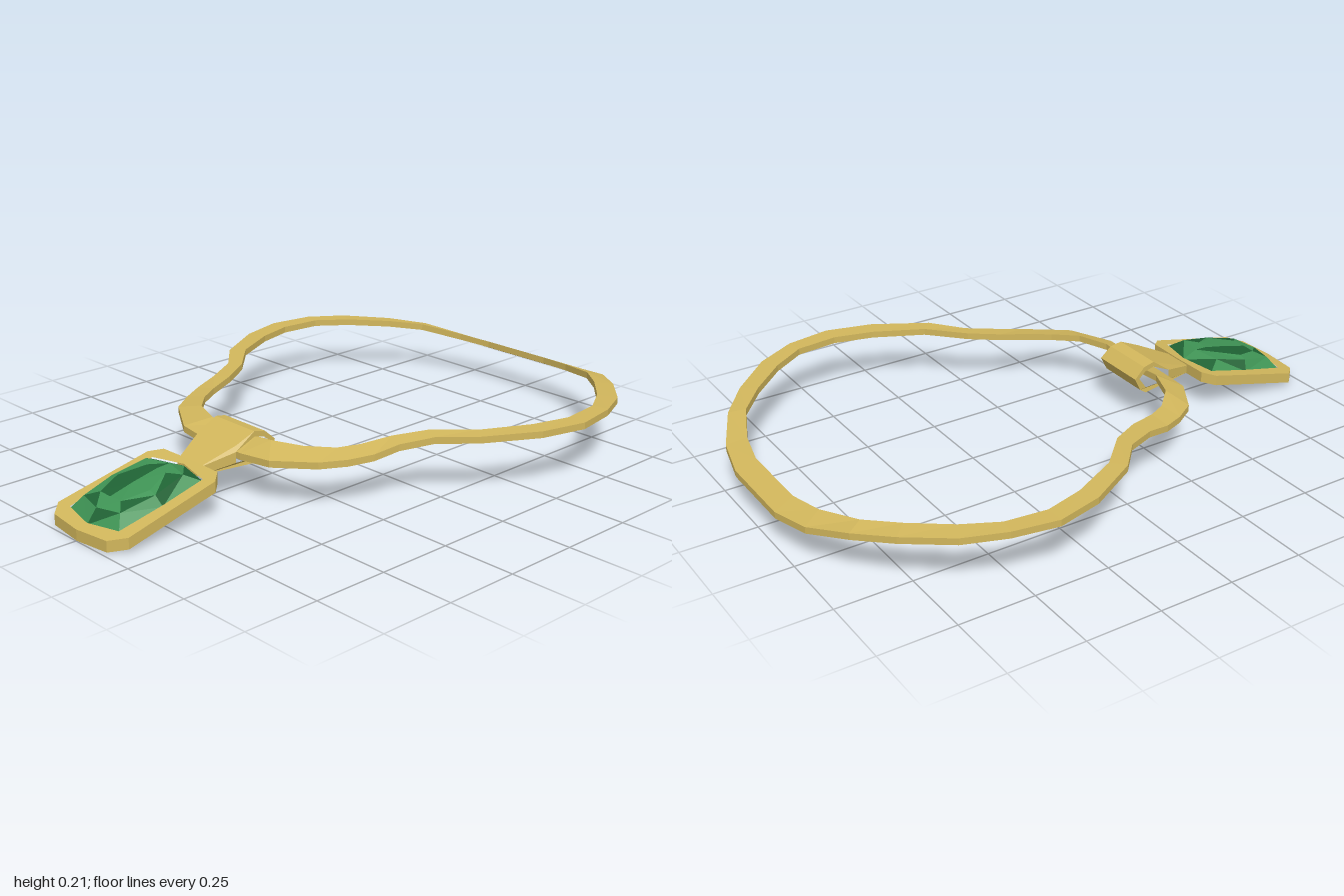
import * as THREE from 'three';

const SLOPE = 0.235;

// Builds a flat-faced geometry from lists of triangles, one group per list
function fromTriangles(...lists) {
  const g = new THREE.BufferGeometry();
  const flat = lists.map((l) => l.flat(2));
  g.setAttribute('position', new THREE.Float32BufferAttribute(flat.flat(), 3));
  let start = 0;
  flat.forEach((f, i) => {
    g.addGroup(start, f.length / 3, i);
    start += f.length / 3;
  });
  g.computeVertexNormals();
  return g;
}

// Tilts a flat part so that its front end rests on the ground
function tilt(g) {
  const p = g.attributes.position;
  for (let i = 0; i < p.count; i++) p.setY(i, p.getY(i) + SLOPE * (1 - p.getZ(i)));
  g.computeVertexNormals();
  return g;
}

// Flat plate from a plan outline of [x, z] points
function plate(outline, hole, depth) {
  const pts = (o) => o.map(([x, z]) => new THREE.Vector2(x, -z));
  const s = new THREE.Shape(pts(outline));
  if (hole) s.holes.push(new THREE.Path(pts(hole)));
  const g = new THREE.ExtrudeGeometry(s, { depth, bevelEnabled: false });
  return tilt(g.rotateX(-Math.PI / 2));
}

// Closes a half outline by mirroring it across x = 0
const mirror = (half) => [
  ...half,
  ...half.slice().reverse().filter((p) => p[0] > 0).map(([x, ...r]) => [-x, ...r]),
];

// Collar band: inner x, z, top y, then outer x, z, top y
function collarGeometry() {
  const half = [
    [0.13, -0.935, 0.155, 0.14, -1.0, 0.127], [0.25, -0.91, 0.163, 0.28, -0.97, 0.14],
    [0.39, -0.85, 0.182, 0.42, -0.9, 0.17], [0.485, -0.765, 0.192, 0.53, -0.81, 0.185],
    [0.585, -0.65, 0.2, 0.645, -0.68, 0.197], [0.65, -0.54, 0.205, 0.705, -0.55, 0.205],
    [0.665, -0.4, 0.205, 0.73, -0.4, 0.205], [0.63, -0.27, 0.206, 0.69, -0.245, 0.205],
    [0.55, -0.11, 0.207, 0.59, -0.07, 0.205], [0.44, 0.0, 0.205, 0.49, 0.02, 0.2],
    [0.385, 0.1, 0.197, 0.44, 0.125, 0.19], [0.35, 0.2, 0.186, 0.42, 0.21, 0.175],
    [0.315, 0.265, 0.182, 0.385, 0.285, 0.168], [0.245, 0.335, 0.186, 0.335, 0.36, 0.165],
    [0.14, 0.375, 0.186, 0.205, 0.44, 0.155], [0.07, 0.375, 0.18, 0.085, 0.452, 0.148],
  ];
  const ring = mirror(half.map(([a, b, c, d, e, f]) => [1, a, b, c, d, e, f]))
    .map(([side, a, b, c, d, e, f]) => [
      [side * a, c, b], [side * d, f, e], [side * d, f - 0.022, e], [side * a, c - 0.022, b],
    ]);
  const tris = [];
  ring.forEach((s, i) => {
    const n = ring[(i + 1) % ring.length];
    for (let k = 0; k < 4; k++) {
      const m = (k + 1) % 4;
      tris.push([s[k], n[k], n[m]], [s[k], n[m], s[m]]);
    }
  });
  return fromTriangles(tris);
}

// Hollow loop over the collar, narrowing towards the pendant
function bailGeometry() {
  const v = (l) => l.map(([z, y]) => new THREE.Vector2(-z, y));
  const s = new THREE.Shape(v([
    [0.59, 0.1], [0.59, 0.125], [0.47, 0.178], [0.4, 0.208], [0.36, 0.2],
    [0.322, 0.165], [0.345, 0.12], [0.37, 0.103],
  ]));
  s.holes.push(new THREE.Path(v([[0.47, 0.122], [0.47, 0.157], [0.4, 0.19], [0.365, 0.183], [0.34, 0.162], [0.37, 0.122]])));
  const g = new THREE.ExtrudeGeometry(s, { depth: 2, bevelEnabled: false });
  g.translate(0, 0, -1).rotateY(Math.PI / 2);
  const p = g.attributes.position;
  for (let i = 0; i < p.count; i++) {
    const z = p.getZ(i);
    const w = z < 0.47 ? 0.098 - (z - 0.32) * 0.07 : 0.0875 - (z - 0.47) * 0.33;
    p.setX(i, p.getX(i) * w);
  }
  g.computeVertexNormals();
  return g;
}

// Cut stone: girdle, crown edge and table, with some darker facets
function gemGeometry() {
  const at = (h) => ([x, z]) => [x, h, z];
  const girdle = mirror([[0, 0.602], [0.122, 0.628], [0.127, 0.78], [0.122, 0.935], [0, 0.96]]).map(at(0.03));
  const crown = mirror([[0, 0.655], [0.09, 0.675], [0.106, 0.79], [0.09, 0.905], [0, 0.925]]).map(at(0.066));
  const table = mirror([[0, 0.7], [0.045, 0.705], [0.08, 0.79], [0.05, 0.873], [0, 0.875]]).map(at(0.074));
  const light = [], dark = [];
  const n = girdle.length;
  const darkSides = [1, 3, 7, 12, 14];
  const darkCrown = [2, 5, 9, 15];
  const band = (low, high, darkList) => {
    for (let i = 0; i < n; i++) {
      const j = (i + 1) % n;
      // alternate the diagonal so the facets meet in points
      const pair = i % 2
        ? [[low[i], high[i], low[j]], [high[i], high[j], low[j]]]
        : [[low[i], high[i], high[j]], [low[i], high[j], low[j]]];
      pair.forEach((t, k) => (darkList.includes(2 * i + k) ? dark : light).push(t));
    }
  };
  // outlines run clockwise from above, so facets are reversed to face outwards
  band(girdle, crown, darkSides);
  band(crown, table, darkCrown);
  const centre = [0, 0.076, 0.79];
  for (let i = 0; i < n; i++) {
    (i >= n / 2 ? dark : light).push([centre, table[i], table[(i + 1) % n]]);
  }
  const up = (list) => list.map(([a, b, c]) => {
    const ny = (b[2] - a[2]) * (c[0] - a[0]) - (b[0] - a[0]) * (c[2] - a[2]);
    return ny < 0 ? [a, c, b] : [a, b, c];
  });
  return tilt(fromTriangles(up(light), up(dark)));
}

export function createModel() {
  const model = new THREE.Group();
  const material = (name, color) => Object.assign(new THREE.MeshStandardMaterial({ color, flatShading: true }), { name });
  const gold = material('gold', 0xd2b75c);
  const green = material('emerald green', 0x3f9455);
  const darkGreen = material('deep green', 0x1f6334);
  const add = (name, geometry, mat) => {
    const m = new THREE.Mesh(geometry, mat);
    m.name = name;
    model.add(m);
  };

  add('collar', collarGeometry(), gold);
  add('bail', bailGeometry(), gold);

  // Pendant: raised rim, closed back and stone
  const outline = mirror([[0, 0.575], [0.13, 0.578], [0.165, 0.615], [0.175, 0.94], [0.13, 0.985], [0, 0.998]]);
  const opening = mirror([[0, 0.602], [0.122, 0.628], [0.127, 0.78], [0.122, 0.935], [0, 0.96]]);
  add('pendantRim', plate(outline, opening, 0.036), gold);
  add('pendantBack', plate(opening, null, 0.012), gold);
  add('gem', gemGeometry(), [green, darkGreen]);
  return model;
}
